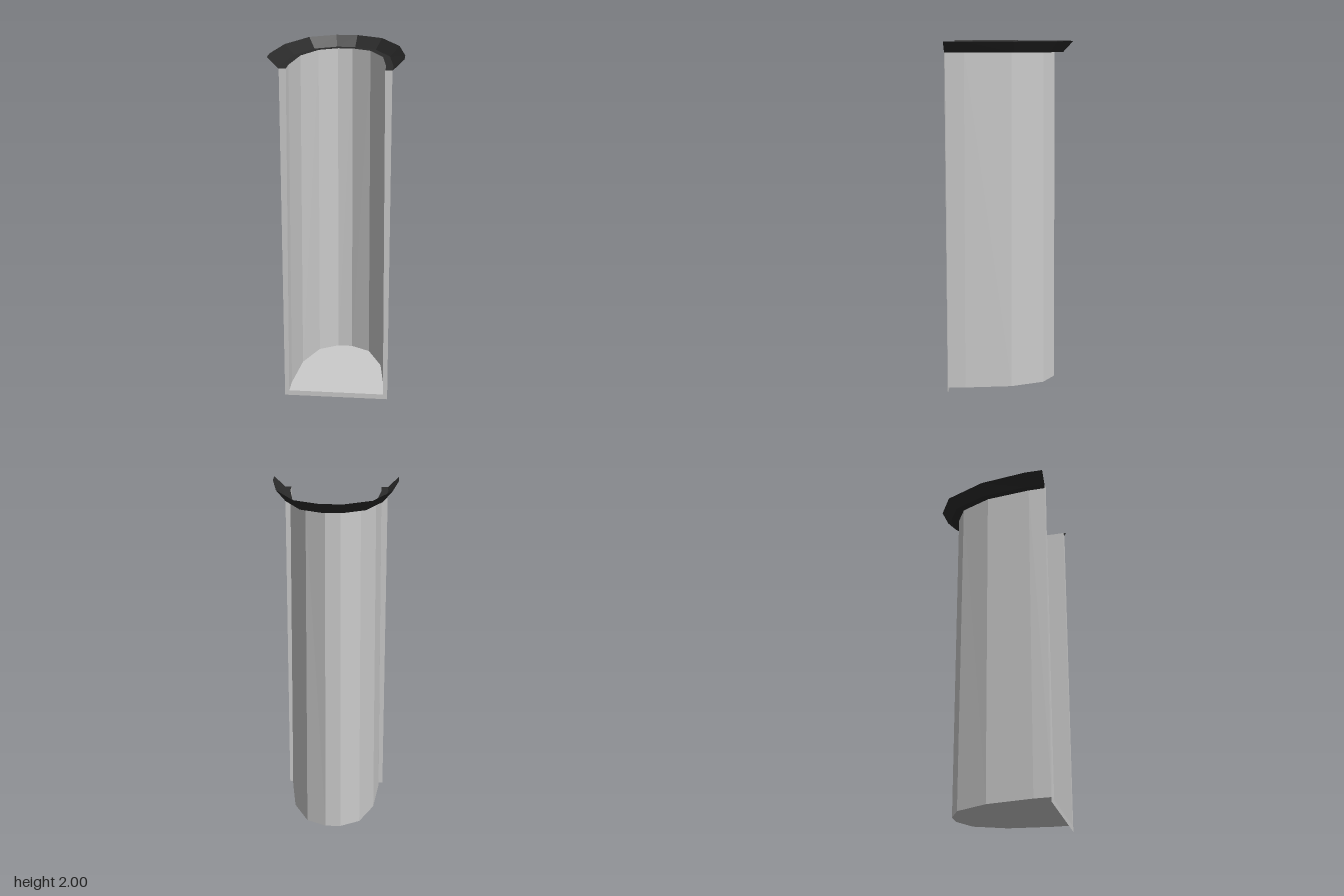
import * as THREE from 'three';

const grey = new THREE.MeshStandardMaterial({ color: 0xcccccc, flatShading: true, side: THREE.DoubleSide });
const dark = new THREE.MeshStandardMaterial({ color: 0x2b2b2b, flatShading: true, side: THREE.DoubleSide });

// Right half of each arch outline as [x, z], from the open front to the back
const FRONT = 0.35;
const wallBottom = [[0.275, FRONT], [0.273, 0.25], [0.24, -0.015], [0.156, -0.198], [0.044, -0.26]];
const wallTop = [[0.262, FRONT], [0.262, 0.245], [0.231, -0.015], [0.149, -0.19], [0.042, -0.252]];
const rimMiddle = [[0.301, FRONT], [0.301, 0.24], [0.269, -0.03], [0.177, -0.228], [0.053, -0.3]];
const rimOuter = [[0.362, FRONT], [0.362, 0.243], [0.321, -0.03], [0.211, -0.268], [0.062, -0.355]];

// Full arch: the half outline plus its mirror image
const arch = (half) => [...half, ...half.map(([x, z]) => [-x, z]).reverse()];

// Open strip of faces between successive arches, each given as [half outline, height]
function loft(name, sections, material) {
  const positions = [];
  const index = [];
  const n = sections[0][0].length * 2;
  sections.forEach(([half, y]) => arch(half).forEach(([x, z]) => positions.push(x, y, z)));
  for (let s = 0; s < sections.length - 1; s++) {
    for (let i = 0; i < n - 1; i++) {
      const a = s * n + i;
      index.push(a, a + 1, a + n, a + 1, a + n + 1, a + n);
    }
  }
  const geometry = new THREE.BufferGeometry();
  geometry.setAttribute('position', new THREE.Float32BufferAttribute(positions, 3));
  geometry.setIndex(index);
  geometry.computeVertexNormals();
  const mesh = new THREE.Mesh(geometry, material);
  mesh.name = name;
  return mesh;
}

const flatShape = (points) => new THREE.ShapeGeometry(new THREE.Shape(points.map(([x, y]) => new THREE.Vector2(x, y))));

export function createModel() {
  const group = new THREE.Group();
  group.name = 'alcove';
  const floorY = 0.03;
  const wallY = 1.94;

  // Thin faceted wall, narrowing slightly upwards
  group.add(loft('wall', [[wallBottom, floorY], [wallTop, wallY]], grey));

  // Floor closing the bottom of the wall
  const floor = new THREE.Mesh(flatShape(arch(wallBottom).map(([x, z]) => [x, -z])).rotateX(-Math.PI / 2), grey);
  floor.name = 'floor';
  floor.position.y = floorY;
  group.add(floor);

  // Flat U-shaped trim around the front opening
  const trim = new THREE.Mesh(flatShape([
    [-0.3, wallY], [-0.3, 0], [0.3, 0], [0.3, wallY],
    [0.262, wallY], [0.275, floorY], [-0.275, floorY], [-0.262, wallY],
  ]), grey);
  trim.name = 'frontTrim';
  trim.position.z = FRONT;
  group.add(trim);

  // Dark rim: a flat ledge, then a lip flaring up and out
  group.add(loft('rim', [[wallTop, wallY], [rimMiddle, wallY], [rimOuter, 2]], dark));
  return group;
}
